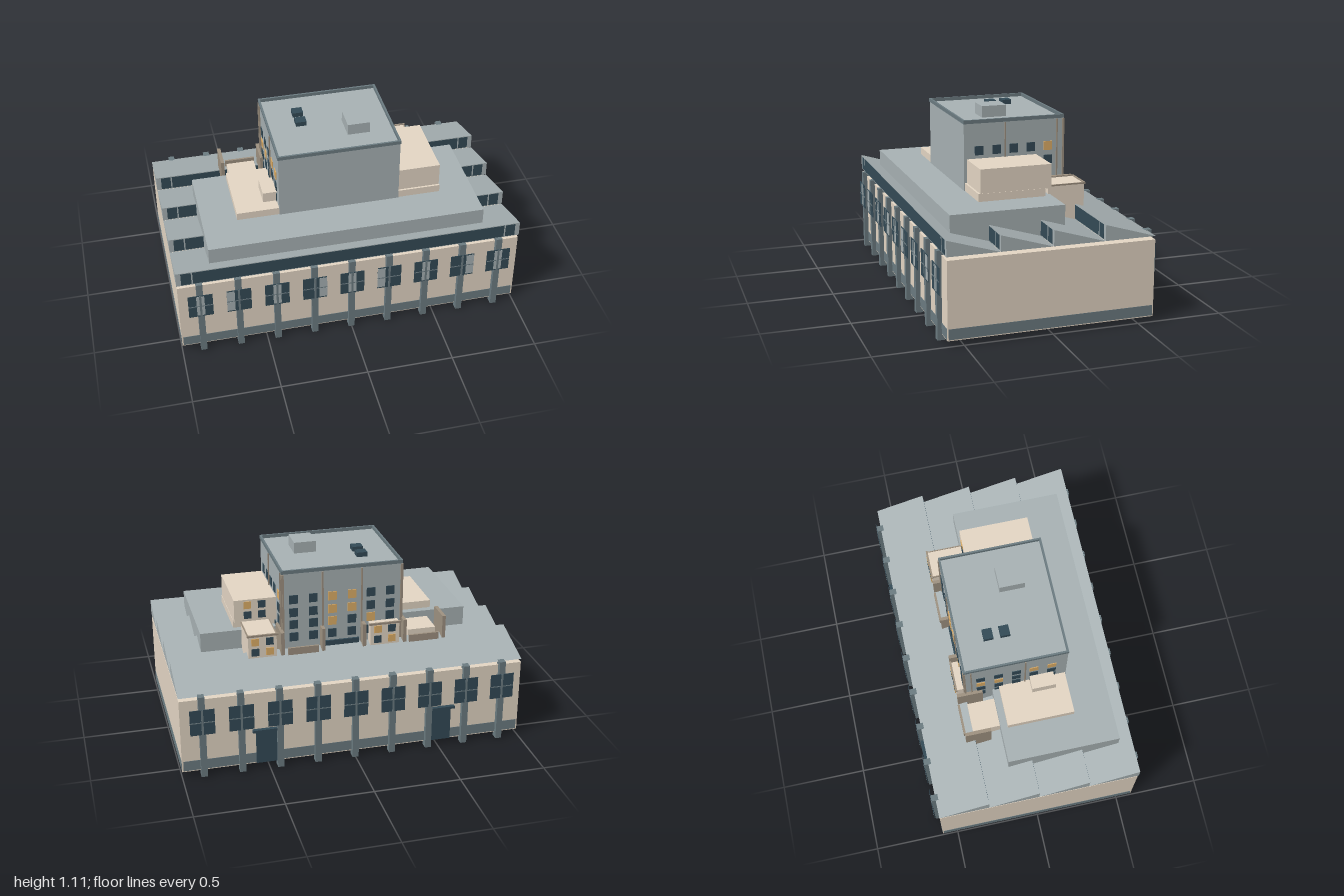
import * as THREE from 'three';

export function createModel() {
  const model = new THREE.Group();
  const mat = (name, color) => {
    const m = new THREE.MeshStandardMaterial({ color });
    m.name = name;
    return m;
  };
  const cream = mat('cream render', 0xe6d8c6);
  const brown = mat('brown trim', 0xa09382);
  const grey = mat('grey concrete', 0xa9b3b5);
  const slate = mat('slate', 0x6d7d83);
  const dark = mat('dark glass', 0x344b57);
  const lit = mat('lit glass', 0xe0b069);

  // Box given by its limits on each axis
  const box = (name, m, x0, x1, y0, y1, z0, z1, parent = model) => {
    const mesh = new THREE.Mesh(new THREE.BoxGeometry(x1 - x0, y1 - y0, z1 - z0), m);
    mesh.position.set((x0 + x1) / 2, (y0 + y1) / 2, (z0 + z1) / 2);
    mesh.name = name;
    parent.add(mesh);
    return mesh;
  };
  const group = (name) => {
    const g = new THREE.Group();
    g.name = name;
    model.add(g);
    return g;
  };

  // Factory hall with a thin slate band at the foot and a slate underside
  box('hallWalls', cream, -0.998, 0.998, 0.032, 0.475, -0.59, 0.59);
  box('plinthLong', slate, -0.99, 0.99, 0.038, 0.098, -0.592, 0.592);
  box('plinthEnds', slate, -1, 1, 0.038, 0.098, -0.584, 0.584);
  box('underside', slate, -0.99, 0.99, 0.03, 0.036, -0.584, 0.584);

  // Pilasters and windows along both long walls
  const pilasters = group('pilasters');
  const hallWindows = group('hallWindows');
  for (let i = 0; i < 9; i++) {
    const x = (i - 4) * 0.219;
    const shift = i % 2 === 0 ? 0 : (i === 1 || i === 5 ? -0.047 : 0.047);
    for (const s of [1, -1]) {
      const span = (a, b) => (s > 0 ? [a, b] : [-b, -a]);
      box('pilaster', slate, x - 0.018, x + 0.018, 0, 0.5, ...span(0.573, 0.616), pilasters);
      box('hallWindow', dark, x - 0.07, x + 0.07, 0.27, 0.424, ...span(0.616, 0.619), hallWindows);
      // Centre post and crossbar over the glass
      box('windowPost', slate, x - 0.006, x + 0.006, 0.27, 0.424, ...span(0.618, 0.621), hallWindows);
      box('windowCrossbar', slate, x - 0.07, x + 0.07, 0.343, 0.349, ...span(0.618, 0.6205), hallWindows);
    }
    // Pale panes above and below the crossbar on the front
    for (const [y0, y1] of [[0.278, 0.342], [0.35, 0.418]]) {
      box('palePane', grey, x + shift - 0.023, x + shift + 0.023, y0, y1, 0.617, 0.62, hallWindows);
    }
  }

  // Back doors with lintels
  for (const s of [-1, 1]) {
    const x = s * 0.515;
    box('backDoor', dark, x - 0.06, x + 0.06, 0.035, 0.235, -0.6, -0.587);
    box('doorLintel', dark, x - 0.08, x + 0.08, 0.235, 0.25, -0.613, -0.587);
  }

  // Sawtooth roof with glazed upright faces
  const roof = group('sawtoothRoof');
  for (let i = 0; i < 4; i++) {
    const z = 0.593 - i * 0.2965;
    const tri = new THREE.Shape([
      new THREE.Vector2(-z, 0.495), new THREE.Vector2(-z + 0.295, 0.495), new THREE.Vector2(-z, 0.585),
    ]);
    const geo = new THREE.ExtrudeGeometry(tri, { depth: 2, bevelEnabled: false });
    geo.rotateY(Math.PI / 2).translate(-1, 0, 0);
    const tooth = new THREE.Mesh(geo, grey);
    tooth.name = 'roofTooth';
    roof.add(tooth);
    box('roofGlazing', dark, -0.972, 0.972, 0.5, 0.58, z - 0.002, z + 0.0012, roof);
    for (const x of [-0.91, 0.91]) {
      box('glazingBar', grey, x - 0.004, x + 0.004, 0.5, 0.58, z, z + 0.002, roof);
    }
  }

  // Stepped podium and side blocks
  box('podium', grey, -0.8, 0.8, 0.475, 0.658, -0.14, 0.515);
  box('podiumSlab', cream, -0.6, 0.6, 0.655, 0.703, -0.1, 0.292);
  box('sideBlock', cream, 0.3, 0.598, 0.7, 0.84, -0.135, 0.28);
  box('smallSideBlock', cream, -0.435, -0.3, 0.7, 0.765, 0.08, 0.22);

  // Tower with a slate parapet round a sunken roof, and rooftop equipment
  box('tower', grey, -0.355, 0.35, 0.475, 1.044, -0.3, 0.297);
  for (const [x0, x1, z0, z1] of [
    [-0.358, 0.354, 0.289, 0.3], [-0.358, 0.354, -0.302, -0.291],
    [-0.358, -0.347, -0.291, 0.289], [0.343, 0.354, -0.291, 0.289],
  ]) {
    box('towerParapet', slate, x0, x1, 1.043, 1.064, z0, z1);
  }
  box('roofHouse', grey, 0.08, 0.21, 1.04, 1.11, -0.002, 0.145);
  for (const z of [-0.122, -0.026]) {
    box('roofVent', dark, -0.19, -0.128, 1.04, 1.071, z - 0.028, z + 0.028);
  }

  // Tower windows on both sides and the back
  const windows = group('towerWindows');
  const rows = [0.886, 0.806, 0.732, 0.655];
  const litSide = { left: [4, 12, 7], right: [0, 1, 8, 9] };
  [0.208, 0.104, 0.002, -0.102, -0.206].forEach((z, c) => rows.forEach((y, r) => {
    const n = r * 5 + c;
    const h = 0.026;
    box('leftTowerWindow', litSide.left.includes(n) ? lit : dark, 0.348, 0.354, y - h, y + h, z - 0.025, z + 0.025, windows);
    box('rightTowerWindow', litSide.right.includes(n) ? lit : dark, -0.359, -0.353, y - h, y + h, z - 0.025, z + 0.025, windows);
  }));
  [0.285, 0.17, 0.058, -0.058, -0.17, -0.285].forEach((x, c) => rows.forEach((y, r) => {
    const m = [2, 3, 8, 9, 14, 16].includes(r * 6 + c) ? lit : dark;
    box('backTowerWindow', m, x - 0.025, x + 0.025, y - 0.026, y + 0.026, -0.305, -0.298, windows);
  }));

  // Slim vertical ribs on the tower
  const ribs = group('towerRibs');
  for (const z of [0.053, -0.26, -0.297]) {
    box('leftRib', brown, 0.348, 0.357, 0.6, 1.04, z - 0.004, z + 0.004, ribs);
    box('rightRib', brown, -0.362, -0.353, 0.6, 1.04, z - 0.004, z + 0.004, ribs);
  }
  for (const x of [-0.35, -0.115, 0.115, 0.345]) {
    box('backRib', brown, x - 0.005, x + 0.005, 0.5, 1.04, -0.307, -0.298, ribs);
  }

  // Rear annexes and bay: cream blocks, with a slim brown coping at the back
  box('tallAnnex', cream, 0.395, 0.56, 0.3, 0.706, -0.348, -0.13);
  box('tallAnnexCoping', brown, 0.385, 0.567, 0.7, 0.711, -0.353, -0.342);
  for (const x of [0.395, 0.56]) {
    box('tallAnnexEdge', brown, x - 0.003, x + 0.003, 0.7, 0.709, -0.345, -0.138);
  }
  box('lowAnnex', cream, -0.568, -0.4, 0.3, 0.62, -0.3, -0.13);
  box('bay', cream, -0.33, -0.157, 0.3, 0.702, -0.348, -0.295);
  box('bayCoping', brown, -0.337, -0.15, 0.695, 0.707, -0.353, -0.342);
  box('rearDoor', dark, -0.1, 0.1, 0.5, 0.61, -0.312, -0.3);

  // Annex, bay and side block windows
  for (const dx of [-0.042, 0.042]) {
    for (const y of [0.605, 0.668]) {
      const m = (dx > 0) === (y > 0.65) ? lit : dark;
      for (const [name, x] of [['annexWindow', 0.478], ['bayWindow', -0.243]]) {
        box(name, m, x + dx - 0.022, x + dx + 0.022, y - 0.022, y + 0.022, -0.354, -0.346);
      }
    }
    for (const y of [0.807, 0.745]) {
      box('sideBlockWindow', dx > 0 && y > 0.8 ? lit : dark, 0.478 + dx - 0.022, 0.478 + dx + 0.022, y - 0.022, y + 0.022, -0.14, -0.133);
    }
  }

  // Fin walls and low beams of the rear terrace
  for (const [x, z1] of [[-0.603, -0.2], [-0.365, -0.2], [-0.122, -0.25], [0.12, -0.25], [0.36, -0.2]]) {
    box('finWall', brown, x - 0.01, x + 0.01, 0.025, 0.707, -0.35, z1);
  }
  box('terraceBeam', brown, -0.57, -0.39, 0.5, 0.61, -0.355, -0.343);
  box('terraceBeam', brown, 0.15, 0.33, 0.5, 0.61, -0.355, -0.343);

  return model;
}
